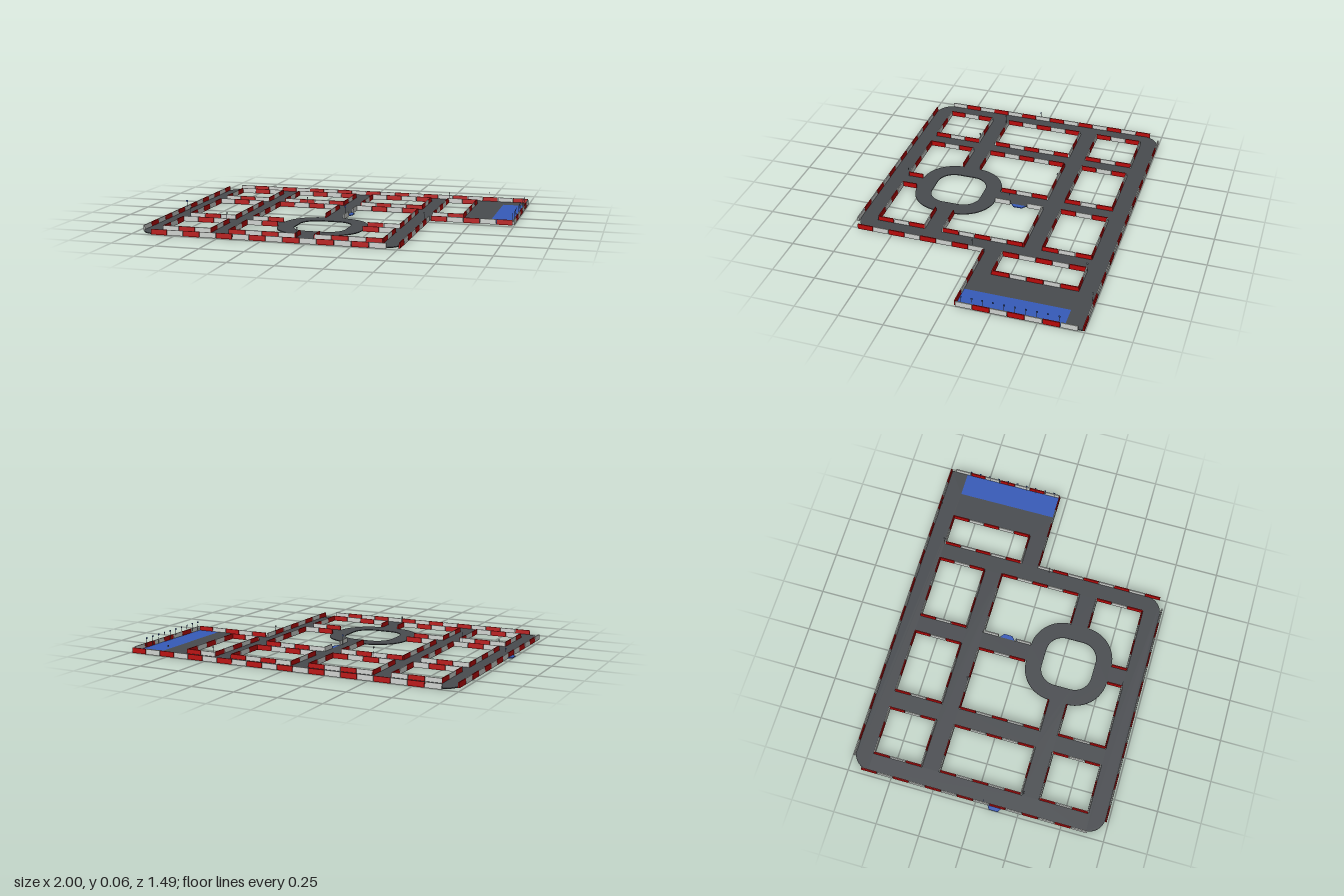
import * as THREE from 'three';

const mat = (name, color) => {
  const m = new THREE.MeshStandardMaterial({ color });
  m.name = name;
  return m;
};

export function createModel() {
  const model = new THREE.Group();
  model.name = 'roadNetwork';
  const asphalt = mat('asphalt', 0x484b4f);
  const blue = mat('blue paving', 0x365ab8);
  const red = mat('barrier red', 0xb40808);
  const white = mat('barrier white', 0xc8cbc8);
  const metal = mat('pole grey', 0x777b80);
  const T = 0.005; // slab thickness

  const add = (name, geometry, material, parent = model) => {
    const m = new THREE.Mesh(geometry, material);
    m.name = name;
    parent.add(m);
    return m;
  };
  // Plan shapes are drawn in (x, z) and given the slab thickness
  const slab = (name, shape, material) => {
    const g = new THREE.ExtrudeGeometry(shape, { depth: T, bevelEnabled: false, curveSegments: 12 });
    g.rotateX(Math.PI / 2).translate(0, T, 0);
    return add(name, g, material);
  };
  const poly = (pts) => new THREE.Shape(pts.map(([x, z]) => new THREE.Vector2(x, z)));
  const rect = (x0, x1, z0, z1) => poly([[x0, z0], [x1, z0], [x1, z1], [x0, z1]]);

  // Road outline with three rounded corners and the car park approach
  const P = Math.PI;
  const road = new THREE.Shape();
  road.moveTo(-0.87, -0.74);
  [[0.99, -0.74], [0.99, -0.64], [0.85, -0.64], [0.85, -0.05], [0.5, -0.05], [0.5, 0.63]]
    .forEach(([x, z]) => road.lineTo(x, z));
  road.absarc(0.4, 0.63, 0.1, 0, P / 2);
  road.absarc(-0.87, 0.63, 0.1, P / 2, P);
  road.absarc(-0.87, -0.64, 0.1, P, 1.5 * P);

  // Plain rectangular blocks between the roads
  const blocks = [
    [-0.87, -0.58, -0.64, -0.35], [-0.48, -0.09, -0.64, -0.35], [0.01, 0.4, -0.64, -0.35],
    [-0.87, -0.58, -0.25, 0.24], [-0.87, -0.58, 0.34, 0.63], [0.5, 0.69, -0.64, -0.15],
  ];
  blocks.forEach((b) => road.holes.push(rect(...b)));

  // Blocks with one corner taken by the roundabout: corner (cx, cz), far corner (fx, fz)
  const R = 0.195;
  const cornerBlocks = [
    [-0.09, 0.24, -0.48, -0.25], [0.01, 0.24, 0.4, -0.25],
    [-0.09, 0.34, -0.48, 0.63], [0.01, 0.34, 0.4, 0.63],
  ];
  cornerBlocks.forEach(([cx, cz, fx, fz]) => {
    const sx = Math.sign(fx - cx), sz = Math.sign(fz - cz);
    const pts = [[cx, fz], [fx, fz], [fx, cz]];
    for (let i = 0; i <= 12; i++) {
      const a = (i / 12) * P / 2;
      pts.push([cx + sx * R * Math.cos(a), cz + sz * R * Math.sin(a)]);
    }
    road.holes.push(poly(pts));
  });
  // Rounded island in the roundabout
  const island = new THREE.Path();
  island.absarc(0.01, 0.34, 0.1, 0, P / 2);
  island.absarc(-0.09, 0.34, 0.1, P / 2, P);
  island.absarc(-0.09, 0.24, 0.1, P, 1.5 * P);
  island.absarc(0.01, 0.24, 0.1, 1.5 * P, 2 * P);
  road.holes.push(island);
  slab('roads', road, asphalt);

  // Parking bays and bus stop lay-bys
  slab('parkingBays', rect(0.85, 0.99, -0.64, -0.05), blue);
  slab('leftLayBy', poly([[-0.97, 0.065], [-0.97, 0.155], [-1, 0.135], [-1, 0.085]]), blue);
  slab('innerLayBy', poly([[0.01, -0.145], [0.035, -0.125], [0.035, -0.075], [0.01, -0.055]]), blue);

  // Barrier unit: tapered profile, long side along x
  const L = 0.095;
  const profile = poly([[-0.005, 0], [0.005, 0], [0.005, 0.006], [0.003, 0.03], [-0.003, 0.03], [-0.005, 0.006]]);
  const unit = new THREE.ExtrudeGeometry(profile, { depth: L - 0.003, bevelEnabled: false });
  unit.translate(0, 0, -(L - 0.003) / 2).rotateY(P / 2);
  const barriers = new THREE.Group();
  barriers.name = 'barriers';
  model.add(barriers);
  // Row of alternating units along one axis, centred between a and b
  const row = (alongX, a, b, at, redFirst) => {
    const n = Math.round(Math.abs(b - a) / L - 0.15);
    const dir = Math.sign(b - a), start = (a + b) / 2 - dir * n * L / 2;
    for (let i = 0; i < n; i++) {
      const isRed = (i % 2 === 0) === redFirst;
      const p = start + dir * (i + 0.5) * L;
      const m = add(isRed ? 'redBarrier' : 'whiteBarrier', unit, isRed ? red : white, barriers);
      m.position.set(alongX ? p : at, 0, alongX ? at : p);
      if (!alongX) m.rotation.y = P / 2;
    }
  };
  // Outer rows
  row(true, -0.89, 0.44, 0.735, true);
  row(true, -0.91, 0.99, -0.742, false);
  row(false, -0.68, 0.65, -0.973, true);
  row(false, 0.71, -0.05, 0.503, true);
  row(false, -0.05, -0.715, 0.993, false);
  row(true, 0.515, 0.99, -0.047, true);
  // Rows round the plain blocks
  const e = 0.005;
  blocks.forEach(([x0, x1, z0, z1]) => {
    row(false, z0, z1, x0 + e, true);
    row(false, z0, z1, x1 - e, true);
    row(true, x0, x1, z0 + e, false);
    row(true, x0, x1, z1 - e, false);
  });
  // Rows round the roundabout blocks, stopping at the ring
  cornerBlocks.forEach(([cx, cz, fx, fz]) => {
    const sx = Math.sign(fx - cx), sz = Math.sign(fz - cz);
    row(true, cx, fx, fz - sz * e, false);
    row(false, cz, fz, fx - sx * e, true);
    row(true, fx, cx + sx * R, cz + sz * e, false);
    if (cx > 0 && sz < 0) { // leave the lay-by open
      row(false, -0.25, -0.15, cx + e, false);
      row(false, -0.05, 0.045, cx + e, false);
    } else row(false, fz, cz + sz * R, cx + sx * e, true);
  });

  // Street signs: thin pole with a small plate
  const poleG = new THREE.CylinderGeometry(0.001, 0.001, 0.06, 6).translate(0, 0.03, 0);
  const plateG = new THREE.BoxGeometry(0.01, 0.01, 0.002).translate(0, 0.06, 0.001);
  const sign = (name, x, z, turn, plate) => {
    const g = new THREE.Group();
    g.name = name;
    add('pole', poleG, metal, g);
    add('plate', plateG, plate, g);
    g.position.set(x, 0, z);
    g.rotation.y = turn;
    model.add(g);
  };
  for (let i = 0; i < 10; i++) sign('parkingSign', 0.985, -0.08 - i * 0.059, -P / 2, blue);
  sign('busStopSign', -0.97, 0.045, 0, blue);
  sign('busStopSign', 0.0, -0.04, 0, blue);
  [[-0.085, 0.625, 0], [0.49, 0.025, 0], [-0.86, 0.25, P / 2], [-0.6, 0.34, P / 2],
    [-0.3, -0.25, P / 2], [0.51, -0.64, P / 2], [0.75, -0.73, P / 2]]
    .forEach(([x, z, t]) => sign('roadSign', x, z, t, metal));

  return model;
}
